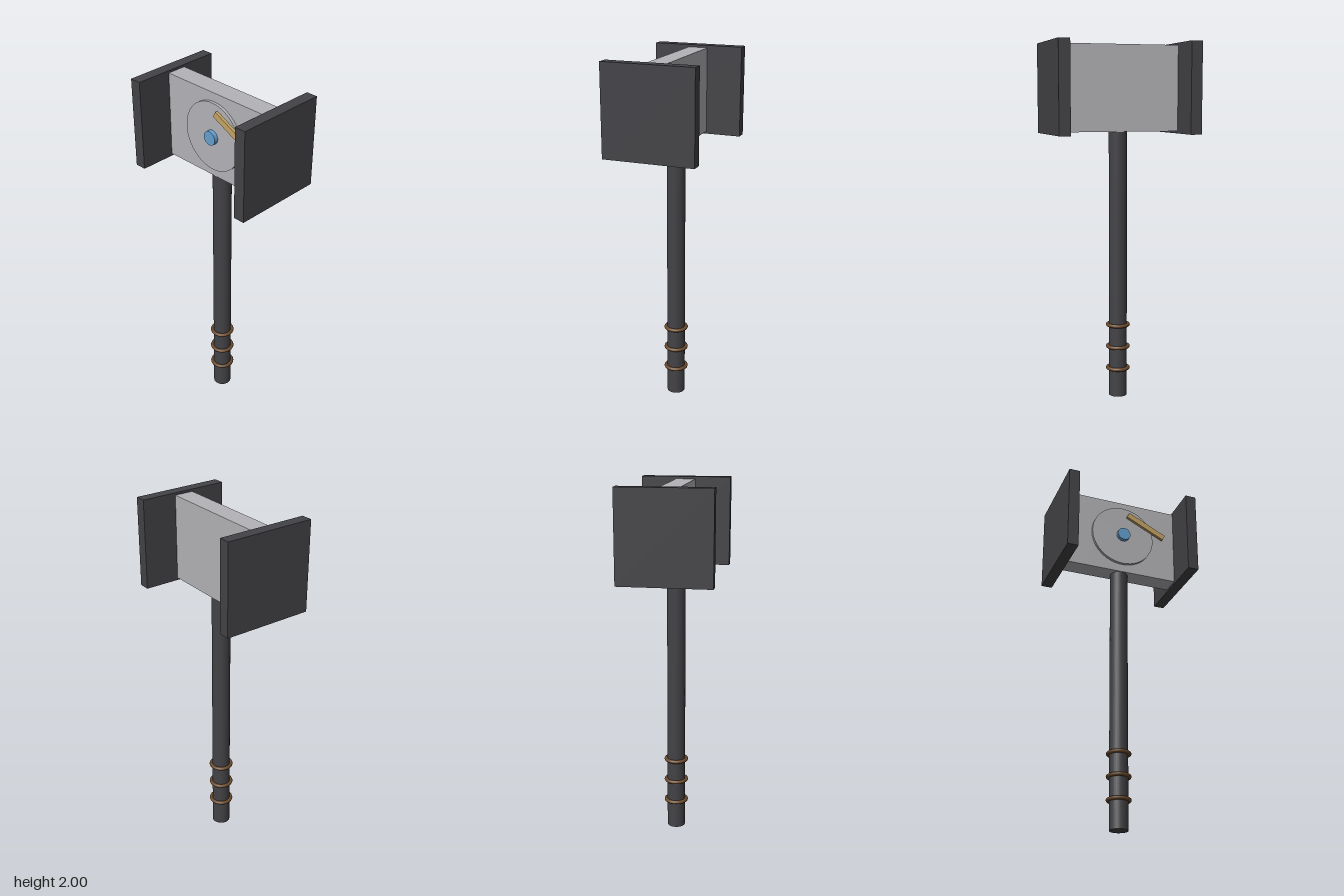
import * as THREE from 'three';

const material = (name, color) => {
  const m = new THREE.MeshStandardMaterial({ color });
  m.name = name;
  return m;
};

export function createModel() {
  const model = new THREE.Group();
  model.name = 'hammer';
  const dark = material('darkIron', 0x434347);
  const steel = material('paleSteel', 0xb4b4b8);
  const gold = material('brass', 0xc4a464);
  const blue = material('blue', 0x649fcf);
  const brown = material('brownLeather', 0x6b4a2c);

  const add = (name, geometry, mat, x, y, z) => {
    const mesh = new THREE.Mesh(geometry, mat);
    mesh.name = name;
    mesh.position.set(x, y, z);
    model.add(mesh);
    return mesh;
  };

  // Handle with three grip rings
  add('handle', new THREE.CylinderGeometry(0.051, 0.051, 1.52, 32), dark, 0, 0.76, 0);
  [0.161, 0.288, 0.415].forEach((y, i) => {
    add(`gripRing${i + 1}`, new THREE.TorusGeometry(0.058, 0.0105, 10, 40), brown, 0, y, 0)
      .rotation.x = Math.PI / 2;
  });

  // Head: thin core between two square striking plates
  add('headCore', new THREE.BoxGeometry(0.668, 0.474, 0.109), steel, 0, 1.75, 0);
  for (const [name, side] of [['leftPlate', 1], ['rightPlate', -1]]) {
    add(name, new THREE.BoxGeometry(0.063, 0.5, 0.508), dark, side * 0.365, 1.75, 0);
  }

  // Front dial: disc, hub and slanted pointer
  const disc = (name, radius, back, front, mat, sides) => {
    const g = new THREE.CylinderGeometry(radius, radius, front - back, sides);
    g.rotateX(Math.PI / 2);
    add(name, g, mat, 0, 1.75, (front + back) / 2);
  };
  disc('dialDisc', 0.19, 0.04, 0.071, steel, 48);
  disc('dialHub', 0.039, 0.06, 0.094, blue, 24);
  add('dialPointer', new THREE.BoxGeometry(0.253, 0.034, 0.017), gold, 0.143, 1.838, 0.0785)
    .rotation.z = -0.45;

  return model;
}
